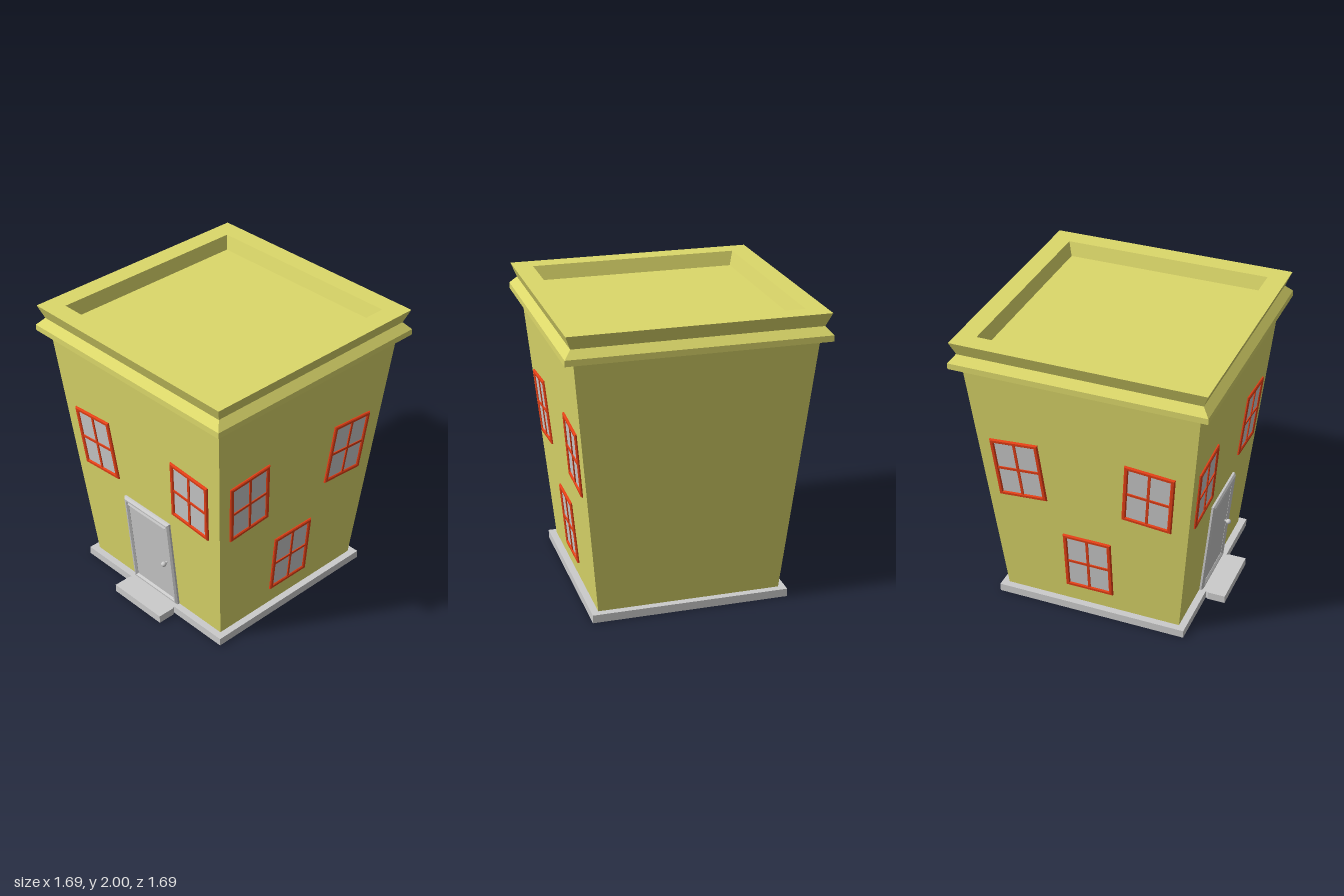
import * as THREE from 'three';

const grey = new THREE.MeshStandardMaterial({ color: 0xcccccc });
const yellow = new THREE.MeshStandardMaterial({ color: 0xdcd86a });
const red = new THREE.MeshStandardMaterial({ color: 0xe64016 });

const BASE = 0.055, FOOT = 0.615, TOP = 1.82, EAVE = 0.78;
const TILT = Math.atan((EAVE - FOOT) / (TOP - BASE));

function add(parent, name, geometry, material, x = 0, y = 0, z = 0) {
  const mesh = new THREE.Mesh(geometry, material);
  mesh.name = name;
  mesh.position.set(x, y, z);
  parent.add(mesh);
  return mesh;
}

// Square "lathe": profile of [half width, height], flat faces
function squareLathe(profile) {
  const pts = profile.map(([r, y]) => new THREE.Vector2(r * Math.SQRT2, y));
  const geo = new THREE.LatheGeometry(pts, 4, Math.PI / 4).toNonIndexed();
  geo.computeVertexNormals();
  return geo;
}

function rect(target, w, h) {
  target.moveTo(-w / 2, -h / 2);
  target.lineTo(w / 2, -h / 2);
  target.lineTo(w / 2, h / 2);
  target.lineTo(-w / 2, h / 2);
  target.closePath();
  return target;
}

// Bevelled rectangular frame, back at z = 0
function frame(w, h, border, depth, bevel) {
  const shape = rect(new THREE.Shape(), w - 2 * bevel, h - 2 * bevel);
  shape.holes.push(rect(new THREE.Path(), w - 2 * border + 2 * bevel, h - 2 * border + 2 * bevel));
  return new THREE.ExtrudeGeometry(shape, {
    depth: depth - bevel, bevelEnabled: true, bevelThickness: bevel, bevelSize: bevel, bevelSegments: 1,
  });
}

// Window in the plane of a wall, at height v, turned by angle
function makeWindow(u, v, angle) {
  const g = new THREE.Group();
  g.name = 'window';
  const w = 0.335, h = 0.445;
  add(g, 'windowFrame', frame(w, h, 0.028, 0.014, 0.006), red);
  add(g, 'windowGlass', new THREE.BoxGeometry(w - 0.04, h - 0.04, 0.006), grey, 0, 0, 0.001);
  add(g, 'verticalBar', new THREE.BoxGeometry(0.017, h - 0.04, 0.012), red, 0, 0, 0.005);
  add(g, 'horizontalBar', new THREE.BoxGeometry(w - 0.04, 0.017, 0.012), red, 0, 0, 0.005);
  g.position.set(u, (v - BASE) / Math.cos(TILT), 0);
  g.rotation.z = angle;
  return g;
}

// Leaning plane of one wall: local x along the wall, y up it, z outward
function makeWall(house, name, turn) {
  const side = new THREE.Group();
  side.name = name;
  side.rotation.y = turn;
  const plane = new THREE.Group();
  plane.name = name + 'Plane';
  plane.position.set(0, BASE, FOOT);
  plane.rotation.x = TILT;
  side.add(plane);
  house.add(side);
  return plane;
}

function makeDoor() {
  const g = new THREE.Group();
  g.name = 'door';
  const w = 0.435, h = 0.71;
  add(g, 'doorFrame', frame(w, h, 0.036, 0.026, 0.012), grey, 0, h / 2);
  add(g, 'doorPanel', new THREE.BoxGeometry(w - 0.06, h - 0.03, 0.012), grey, 0, h / 2, 0.006);
  const trim = add(g, 'doorTrim', new THREE.BoxGeometry(w - 0.07, 0.02, 0.01), grey, 0, h - 0.045, 0.014);
  trim.rotation.x = -0.4;
  const stem = add(g, 'knobStem', new THREE.CylinderGeometry(0.008, 0.008, 0.03, 12), grey, 0.15, 0.345, 0.025);
  stem.rotation.x = Math.PI / 2;
  add(g, 'doorKnob', new THREE.SphereGeometry(0.018, 16, 12), grey, 0.15, 0.345, 0.04);
  return g;
}

export function createModel() {
  const house = new THREE.Group();
  house.name = 'house';

  // Ground slab with the front step in one outline (shape y becomes -z)
  const s = 0.6625;
  const outline = [[-s, s], [-s, -s], [-0.215, -s], [-0.225, -0.68], [-0.225, -0.8],
    [0.225, -0.8], [0.225, -0.68], [0.215, -s], [s, -s], [s, s]];
  const slab = new THREE.ExtrudeGeometry(
    new THREE.Shape(outline.map(([x, y]) => new THREE.Vector2(x, y))),
    { depth: BASE, bevelEnabled: false });
  slab.rotateX(-Math.PI / 2);
  add(house, 'slabAndStep', slab, grey);

  // Walls flaring upward, cornice, parapet and sunken roof
  add(house, 'walls', squareLathe([[FOOT, BASE], [EAVE, TOP]]), yellow);
  add(house, 'corniceAndRoof', squareLathe([
    [EAVE - 0.01, TOP], [0.845, TOP], [0.845, 1.86], [0.8, 1.91], [0.835, 2],
    [0.705, 2], [0.68, 1.905], [0, 1.905]]), yellow);

  // Front: door and two crooked windows
  const front = makeWall(house, 'frontWall', 0);
  front.add(makeDoor(), makeWindow(-0.443, 1.085, 0.083), makeWindow(0.443, 1.085, -0.083));

  // Sides: two crooked windows over a straight one
  for (const [name, turn] of [['rightWall', -Math.PI / 2], ['leftWall', Math.PI / 2]]) {
    makeWall(house, name, turn).add(
      makeWindow(-0.458, 1.085, 0.083),
      makeWindow(0.428, 1.085, -0.083),
      makeWindow(-0.012, 0.402, 0));
  }
  return house;
}
